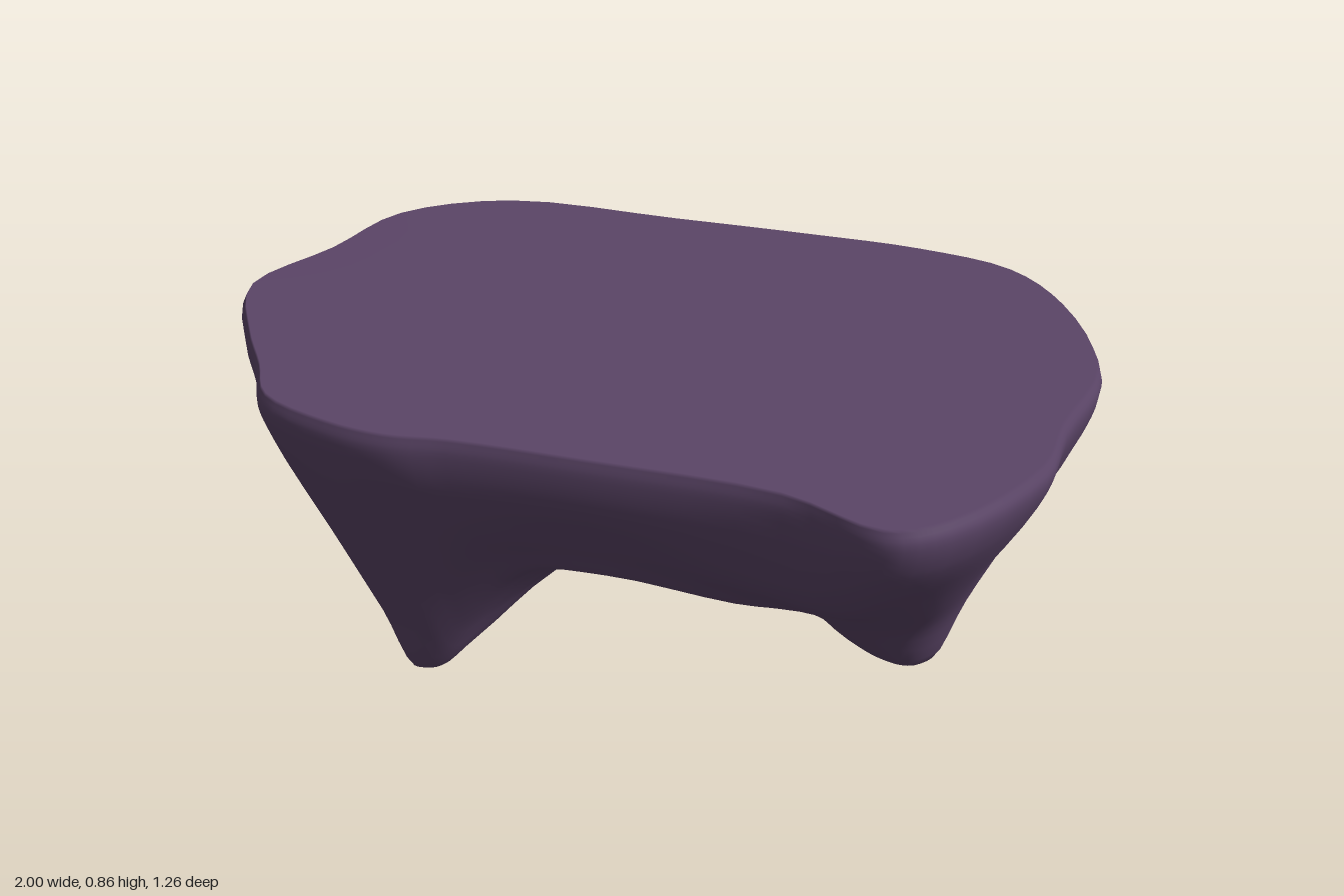
import * as THREE from 'three';

// Columns run from the left end (+x) round the front (+z), right end and back.
// Rim of the slab: x, z
const RIM = [
  [1, -.13], [.945, .13], [.92, .31], [.76, .56], [.64, .625], [.42, .55], [0, .535], [-.3, .535],
  [-.44, .55], [-.58, .53], [-.75, .46], [-.82, .34], [-.91, .2], [-1, -.01], [-.89, -.24],
  [-.8, -.47], [-.55, -.617], [-.1, -.625], [.25, -.625], [.53, -.615], [.76, -.56], [.9, -.41],
];
// Waist of the wall: x, y, z
const WAIST = [
  [.86, .47, -.1], [.82, .46, .1], [.75, .46, .27], [.66, .52, .41], [.55, .52, .47], [.35, .56, .47],
  [0, .6, .46], [-.27, .57, .46], [-.4, .47, .43], [-.52, .45, .43], [-.64, .42, .37],
  [-.71, .42, .26], [-.73, .46, .12], [-.77, .52, 0], [-.68, .52, -.2], [-.56, .47, -.4],
  [-.37, .45, -.53], [-.12, .47, -.53], [.15, .55, -.48], [.38, .52, -.44], [.65, .47, -.38], [.79, .47, -.28],
];
// Lower edge, dipping to the three feet: x, y, z
const FOOT = [
  [.69, .02, -.08], [.65, .02, -.03], [.59, .08, .04], [.52, .2, .14], [.44, .34, .24], [.28, .41, .34],
  [0, .46, .38], [-.2, .42, .36], [-.36, .22, .32], [-.46, .03, .28], [-.52, .005, .27],
  [-.53, .01, .23], [-.52, .12, .13], [-.5, .29, .02], [-.42, .28, -.12], [-.32, .2, -.3],
  [-.23, .11, -.45], [-.19, .12, -.45], [.05, .37, -.36], [.23, .42, -.27], [.5, .18, -.23], [.63, .04, -.14],
];
const AROUND = 88, DOWN = 36;
const v = (x, y, z) => new THREE.Vector3(x, y, z);
const ring = (points) => new THREE.CatmullRomCurve3(points, true);

export function createModel() {
  const group = new THREE.Group();
  group.name = 'rockTable';
  const stone = new THREE.MeshStandardMaterial({ color: 0x5b4567 });
  stone.name = 'purple stone';

  const rim = ring(RIM.map(([x, z]) => v(x, .82, z)));
  const waist = ring(WAIST.map((p) => v(...p)));
  const foot = ring(FOOT.map((p) => v(...p)));
  const belly = v(.1, .385, .02);

  // Each column is a profile from the top edge, down the wall, under the foot to the belly
  const points = [];
  for (let j = 0; j < AROUND; j++) {
    const t = j / AROUND;
    const r = rim.getPoint(t), w = waist.getPoint(t), f = foot.getPoint(t);
    const edge = v(r.x * .985, .86, r.z * .985);
    const upper = r.clone().lerp(w, .17).setY(.72);
    const inner = (k, h) => f.clone().lerp(belly, k).setY(THREE.MathUtils.lerp(f.y, belly.y, h));
    const profile = new THREE.CatmullRomCurve3(
      [edge, r, upper, w, w.clone().lerp(f, .55), f, inner(.14, .19), inner(.5, .75), belly]);
    const column = profile.getPoints(DOWN);
    column.forEach((p) => { p.y = THREE.MathUtils.clamp(p.y, 0, .86); });
    points.push(...column);
  }
  const centre = points.push(v(0, .86, 0)) - 1;

  // Flat top, walls, legs and underside as one smooth skin
  const index = [], width = DOWN + 1;
  for (let j = 0; j < AROUND; j++) {
    const n = (j + 1) % AROUND;
    index.push(centre, n * width, j * width);
    for (let i = 0; i < DOWN; i++) {
      const a = j * width + i, b = n * width + i;
      index.push(a, b, a + 1);
      if (i < DOWN - 1) index.push(b, b + 1, a + 1);
    }
  }
  const skin = new THREE.BufferGeometry().setFromPoints(points);
  skin.setIndex(index);
  skin.computeVertexNormals();
  const table = new THREE.Mesh(skin, stone);
  table.name = 'tableTopAndLegs';
  group.add(table);
  return group;
}
